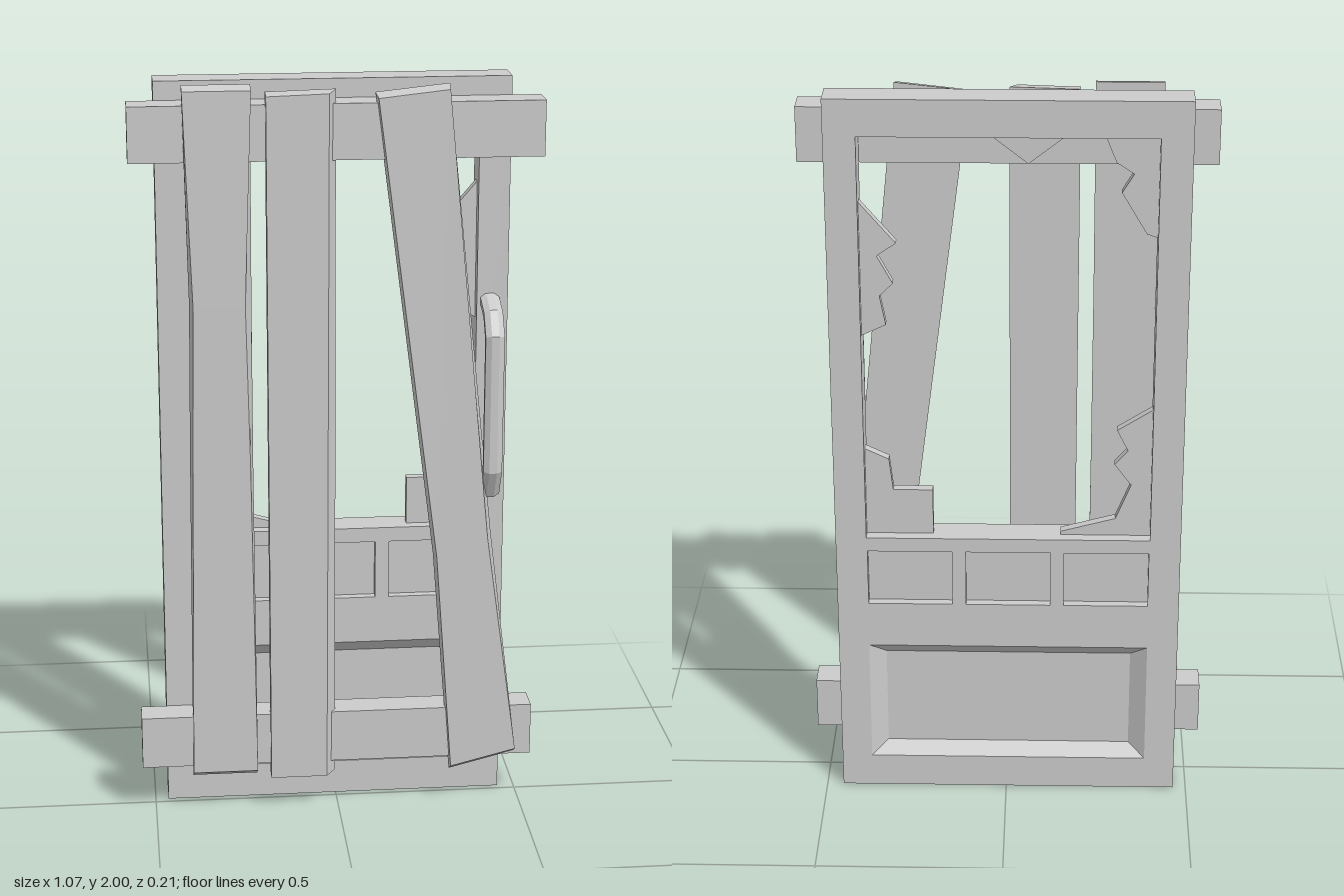
import * as THREE from 'three';

const mat = new THREE.MeshStandardMaterial({ color: 0xcccccc, flatShading: true });

function add(parent, name, geo, x = 0, y = 0, z = 0) {
  const mesh = new THREE.Mesh(geo, mat);
  mesh.name = name;
  mesh.position.set(x, y, z);
  parent.add(mesh);
  return mesh;
}

// Joins four-cornered rings with quads; the last ring is capped, the first one optionally
function loft(rings, capFirst = true) {
  const pos = [];
  const quad = (a, b, c, d) => pos.push(...a, ...b, ...c, ...a, ...c, ...d);
  for (let i = 0; i + 1 < rings.length; i++) {
    for (let j = 0; j < 4; j++) {
      const k = (j + 1) % 4;
      quad(rings[i][j], rings[i][k], rings[i + 1][k], rings[i + 1][j]);
    }
  }
  quad(...rings[rings.length - 1]);
  if (capFirst) quad(...[...rings[0]].reverse());
  const geo = new THREE.BufferGeometry();
  geo.setAttribute('position', new THREE.Float32BufferAttribute(pos, 3));
  geo.computeVertexNormals();
  return geo;
}

const rect = (x0, y0, x1, y1) => [[x0, y0], [x1, y0], [x1, y1], [x0, y1]];
const toVecs = (pts) => pts.map(([x, y]) => new THREE.Vector2(x, y));

function slab(pts, depth, holes = []) {
  const shape = new THREE.Shape(toVecs(pts));
  shape.holes = holes.map((h) => new THREE.Path(toVecs(h)));
  return new THREE.ExtrudeGeometry(shape, { depth, bevelEnabled: false }).translate(0, 0, -depth / 2);
}

// Warped board. Rows run upward: left x, y, right x, y, then front inset on left, right and height
function plank(rows) {
  const back = 0.047, front = 0.086;
  return loft(rows.map(([xl, yl, xr, yr, il, ir, dy]) => [
    [xl + il, yl + dy, front], [xr - ir, yr + dy, front], [xr, yr, back], [xl, yl, back],
  ]));
}

export function createModel() {
  const model = new THREE.Group();
  model.name = 'boardedDoor';

  // Door leaf, built around its own middle plane
  const door = new THREE.Group();
  door.name = 'door';
  door.position.set(-0.005, 0, -0.061);
  model.add(door);
  const T = 0.088, W = 0.378;
  const windowHole = rect(-W, 0.78, W, 1.903);
  const bigHole = rect(-W, 0.095, W, 0.45);
  const smallHoles = [-1, 0, 1].map((i) => rect(i * 0.263 - 0.113, 0.58, i * 0.263 + 0.113, 0.74));
  add(door, 'doorFrame', slab(rect(-0.46, 0, 0.46, 2), T, [windowHole, bigHole, ...smallHoles]));

  // Three small sunken panels
  for (const i of [-1, 0, 1]) {
    add(door, 'smallPanel', new THREE.BoxGeometry(0.226, 0.16, 0.04), i * 0.263, 0.66, 0);
  }

  // Large panel with sloping borders on both faces
  const atZ = (pts, z) => pts.map(([x, y]) => [x, y, z]);
  const recess = loft([atZ(bigHole, T / 2), atZ(rect(-W + 0.045, 0.13, W - 0.045, 0.415), 0.014)], false);
  add(door, 'largePanelFront', recess);
  add(door, 'largePanelBack', recess).rotation.y = Math.PI;

  // Broken glass left in the window
  const shards = [
    [[W, 1.72], [0.285, 1.61], [0.335, 1.575], [0.295, 1.5], [0.33, 1.465], [0.315, 1.385], [W, 1.355]],
    [[W, 1.03], [0.315, 1.0], [0.305, 0.91], [0.2, 0.91], [0.2, 0.78], [W, 0.78]],
    [[0.05, 1.903], [-0.05, 1.825], [-0.15, 1.903]],
    [[-W, 1.903], [-0.24, 1.903], [-0.27, 1.83], [-0.315, 1.8], [-0.285, 1.75], [-0.35, 1.64], [-W, 1.63]],
    [[-W, 1.15], [-0.285, 1.09], [-0.315, 1.03], [-0.28, 0.99], [-0.325, 0.93], [-0.285, 0.83],
      [-0.14, 0.79], [-0.14, 0.78], [-W, 0.78]],
  ];
  for (const pts of shards) add(door, 'glassShard', slab(pts, 0.026));

  // Horizontal bars across the front
  for (const y of [0.208, 1.878]) {
    add(model, 'crossBar', new THREE.BoxGeometry(1.065, 0.145, 0.082), -0.002, y, 0.024);
  }

  // Upright boards nailed to the bars
  add(model, 'leftPlank', plank([
    [-0.397, 0.1, -0.222, 0.1, 0, 0, 0.024],
    [-0.39, 1.0, -0.224, 1.0, 0.006, 0.009, 0],
    [-0.385, 1.43, -0.224, 1.43, 0.009, 0.018, 0],
    [-0.396, 2, -0.222, 2, 0, 0, -0.01],
  ]));
  add(model, 'middlePlank', plank([
    [-0.185, 0.1, -0.008, 0.1, 0, 0.025, 0],
    [-0.185, 1.98, -0.005, 1.985, 0, 0.02, -0.006],
  ]));
  add(model, 'slantedPlank', plank([
    [0.308, 0.09, 0.485, 0.135, 0, 0, 0.024],
    [0.256, 0.73, 0.412, 0.78, 0.006, 0.014, 0],
    [0.095, 1.975, 0.285, 1.995, 0.005, 0.003, -0.01],
  ]));

  // Pull handle, drawn in side profile (z, y) with chamfered edges
  const profile = [
    [-0.02, 1.427], [0.058, 1.4], [0.102, 1.34], [0.102, 0.965], [0.058, 0.885], [-0.02, 0.87],
    [-0.02, 0.9], [0.035, 0.912], [0.072, 0.972], [0.072, 1.325], [0.04, 1.37], [-0.02, 1.39],
  ];
  const handle = new THREE.ExtrudeGeometry(new THREE.Shape(toVecs(profile)), {
    depth: 0.02, bevelThickness: 0.015, bevelSize: 0.009, bevelOffset: -0.009, bevelSegments: 1,
  });
  handle.translate(0, 0, -0.01).rotateY(-Math.PI / 2);
  add(model, 'handle', handle, 0.407, 0, 0);

  return model;
}
